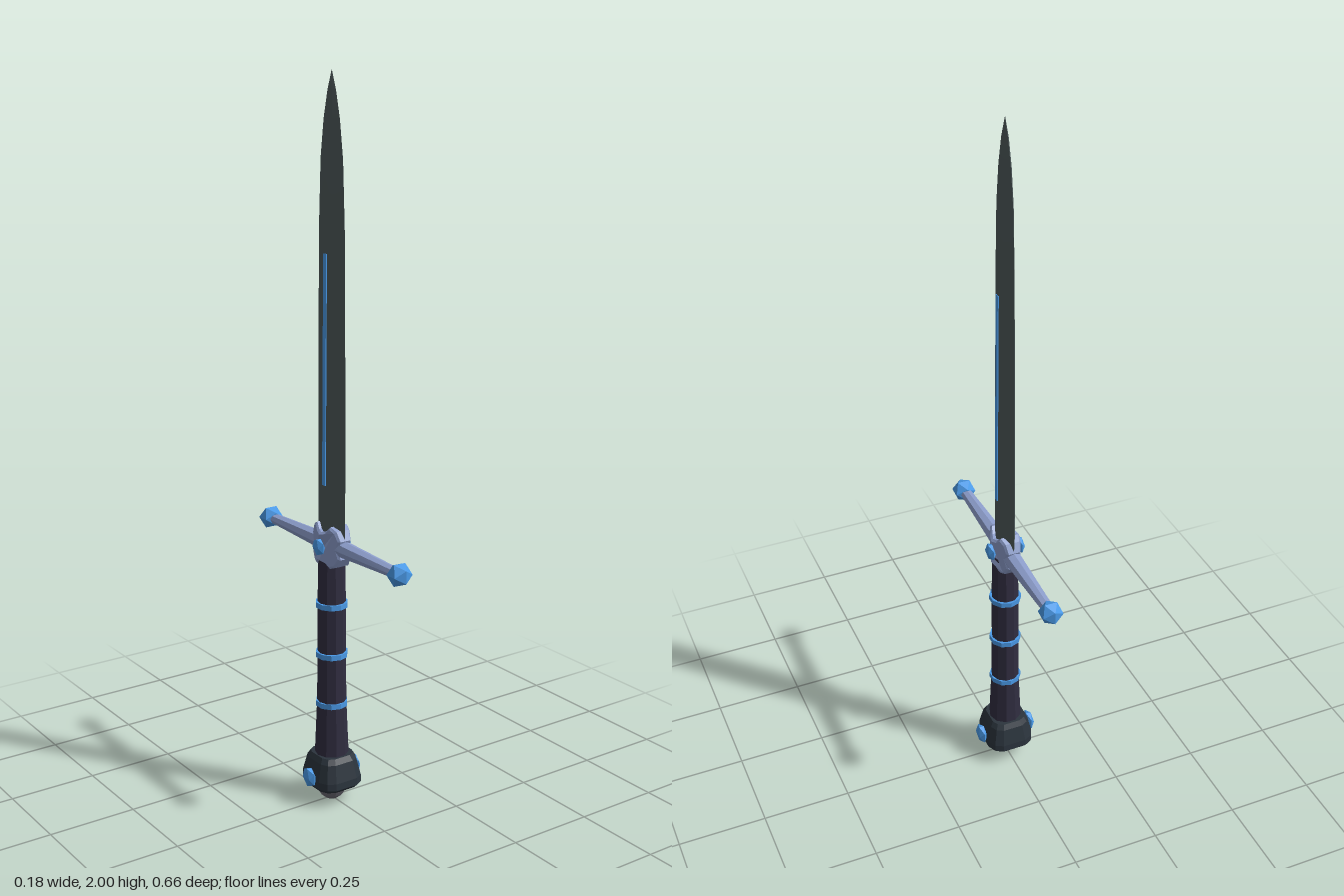
import * as THREE from 'three';
import { toCreasedNormals } from 'three/addons/utils/BufferGeometryUtils.js';

const mat = (color, flatShading = true) => new THREE.MeshStandardMaterial({ color, flatShading });
const STEEL = mat(0x4d5859, false), BLUE = mat(0x4a9ae8), GUARD = mat(0x8c9dcb);
const LEATHER = mat(0x302d40), DARK = mat(0x2b343d), CAP = mat(0x6c6a74);

// Stacked cross-sections: unit outline [x, z] scaled by each level [y, sx, sz]
function loft(outline, levels) {
  const n = outline.length, pos = [];
  const p = (i, j) => {
    const [y, sx, sz] = levels[i], [x, z] = outline[j % n];
    return [x * sx, y, z * sz];
  };
  const last = levels.length - 1;
  for (let j = 0; j < n; j++) {
    for (let i = 0; i < last; i++) {
      const a = p(i, j), b = p(i, j + 1), c = p(i + 1, j), d = p(i + 1, j + 1);
      pos.push(...a, ...c, ...b, ...b, ...c, ...d);
    }
    pos.push(0, levels[0][0], 0, ...p(0, j), ...p(0, j + 1));
    pos.push(0, levels[last][0], 0, ...p(last, j + 1), ...p(last, j));
  }
  const g = new THREE.BufferGeometry();
  g.setAttribute('position', new THREE.Float32BufferAttribute(pos, 3));
  g.computeVertexNormals();
  return g;
}

const ngon = (n) => Array.from({ length: n }, (_, i) => {
  const a = (i / n) * Math.PI * 2;
  return [Math.cos(a), Math.sin(a)];
});

export function createModel() {
  const group = new THREE.Group();
  const add = (name, geometry, material, x = 0, y = 0, z = 0) => {
    const m = new THREE.Mesh(geometry, material);
    m.name = name;
    m.position.set(x, y, z);
    group.add(m);
    return m;
  };

  // Blade: slightly convex diamond section tapering to a point
  const lens = [[1, 0], [0.68, 0.45], [0, 1], [-0.68, 0.45], [-1, 0], [-0.68, -0.45], [0, -1], [0.68, -0.45]];
  const blade = loft(lens, [
    [0.76, 0.027, 0.063], [1.2, 0.024, 0.062], [1.6, 0.021, 0.058],
    [1.78, 0.019, 0.05], [1.88, 0.015, 0.036], [1.95, 0.009, 0.019], [2, 0.0005, 0.0005],
  ]);
  add('blade', toCreasedNormals(blade, 0.7), STEEL);

  // Crossguard centre: lobed outline, pinched toward the blade edges
  const outline = [
    [0, 0.787], [0.018, 0.792], [0.032, 0.806], [0.048, 0.798], [0.06, 0.775], [0.052, 0.75],
    [0.06, 0.725], [0.046, 0.703], [0.03, 0.697], [0.016, 0.708], [0, 0.712],
  ];
  const mirrored = outline.slice(1, -1).reverse().map(([z, y]) => [-z, y]);
  const shape = new THREE.Shape([...outline, ...mirrored].map(([z, y]) => new THREE.Vector2(z, y)));
  const block = new THREE.ExtrudeGeometry(shape, {
    depth: 0.07, bevelEnabled: true, bevelThickness: 0.007, bevelSize: 0.006, bevelOffset: -0.002, bevelSegments: 1,
  });
  block.translate(0, 0, -0.035).rotateY(-Math.PI / 2);
  const bp = block.attributes.position;
  for (let i = 0; i < bp.count; i++) {
    bp.setX(i, bp.getX(i) * (1 - 0.55 * Math.min(1, Math.abs(bp.getZ(i)) / 0.065)));
  }
  block.computeVertexNormals();
  add('guardCentre', block, GUARD);

  // Guard arms and their faceted end knobs
  for (const s of [1, -1]) {
    const arm = loft(ngon(8), [[0, 0.027, 0.027], [0.08, 0.025, 0.022], [0.29, 0.017, 0.014]]);
    add('guardArm', arm, GUARD, 0, 0.75, 0).rotation.x = (s * Math.PI) / 2;
    add('guardKnob', new THREE.IcosahedronGeometry(0.034, 0), BLUE, 0, 0.75, s * 0.303);
  }

  // Parts mirrored on both flat sides
  for (const s of [1, -1]) {
    const strip = add('bladeInlay', new THREE.BoxGeometry(0.006, 0.62, 0.014), BLUE, s * 0.0215, 1.23, 0);
    strip.rotation.z = s * 0.007;
    const guardGem = add('guardGem', new THREE.IcosahedronGeometry(1, 0), BLUE, s * 0.043, 0.75, 0);
    guardGem.scale.set(0.013, 0.026, 0.026);
    const pommelGem = add('pommelGem', new THREE.IcosahedronGeometry(1, 0), BLUE, s * 0.076, 0.08, 0);
    pommelGem.scale.set(0.014, 0.03, 0.03);
  }

  // Grip with three bands
  add('grip', loft(ngon(10), [
    [0.12, 0.048, 0.048], [0.29, 0.041, 0.041], [0.435, 0.039, 0.039], [0.58, 0.039, 0.039], [0.73, 0.036, 0.036],
  ]), LEATHER);
  for (const y of [0.29, 0.435, 0.58]) {
    add('gripBand', new THREE.CylinderGeometry(0.045, 0.045, 0.015, 10), BLUE, 0, y, 0);
  }

  // Pommel: chamfered square block with a rounded cap below
  const square = [
    [1, -0.5], [1, 0.5], [0.83, 0.83], [0.5, 1], [-0.5, 1], [-0.83, 0.83],
    [-1, 0.5], [-1, -0.5], [-0.83, -0.83], [-0.5, -1], [0.5, -1], [0.83, -0.83],
  ];
  add('pommel', loft(square, [
    [0.045, 0.062, 0.065], [0.055, 0.069, 0.074], [0.075, 0.069, 0.073],
    [0.125, 0.058, 0.061], [0.14, 0.05, 0.052],
  ]), DARK);
  add('pommelCap', loft(ngon(10), [
    [0, 0.018, 0.018], [0.015, 0.035, 0.035], [0.035, 0.046, 0.046], [0.055, 0.048, 0.048],
  ]), CAP);

  return group;
}
